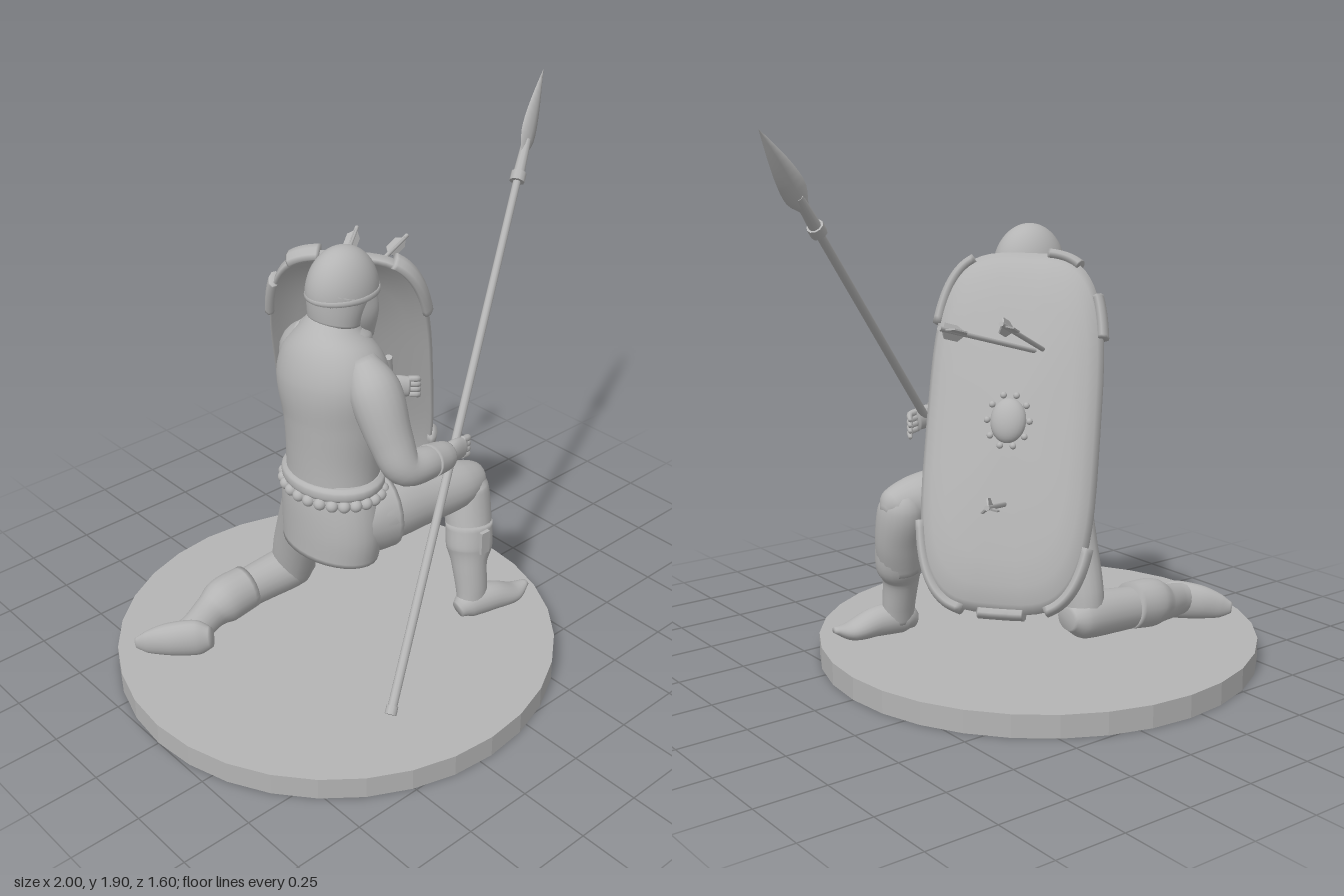
import * as THREE from 'three';

const V = (p) => new THREE.Vector3(p[0], p[1], p[2]);
const X = new THREE.Vector3(1, 0, 0), Y = new THREE.Vector3(0, 1, 0), Z = new THREE.Vector3(0, 0, 1);

// Closed skin over a grid of rings (each ring runs counter-clockwise round the path).
function skin(rings) {
  const n = rings[0].length, pos = [], idx = [];
  rings.forEach((r) => r.forEach((p) => pos.push(p.x, p.y, p.z)));
  for (let i = 0; i < rings.length - 1; i++) {
    for (let j = 0; j < n; j++) {
      const a = i * n + j, b = i * n + (j + 1) % n;
      idx.push(a, b, a + n, b, b + n, a + n);
    }
  }
  [0, rings.length - 1].forEach((k, end) => {
    const c = rings[k].reduce((s, p) => s.add(p), new THREE.Vector3()).divideScalar(n);
    const ci = pos.length / 3;
    pos.push(c.x, c.y, c.z);
    for (let j = 0; j < n; j++) {
      const a = k * n + j, b = k * n + (j + 1) % n;
      if (end) idx.push(a, b, ci); else idx.push(b, a, ci);
    }
  });
  const g = new THREE.BufferGeometry();
  g.setAttribute('position', new THREE.Float32BufferAttribute(pos, 3));
  g.setIndex(idx);
  g.computeVertexNormals();
  return g;
}

// Elliptical sweep; each point is [x, y, z, radius along ref x path, other radius].
function sweep(pts, ref = Z, sides = 20, steps = 6) {
  const curve = new THREE.CatmullRomCurve3(pts.map(V));
  const radii = new THREE.CatmullRomCurve3(
    pts.map((p) => new THREE.Vector3(p[3], p[4] ?? p[3], 0)), false, 'catmullrom', 0.5);
  const count = (pts.length - 1) * steps, rings = [];
  for (let i = 0; i <= count; i++) {
    const t = i / count, c = curve.getPoint(t), r = radii.getPoint(t), tan = curve.getTangent(t);
    const side = ref.clone().cross(tan).normalize(), other = tan.clone().cross(side);
    const ring = [];
    for (let j = 0; j < sides; j++) {
      const a = j / sides * Math.PI * 2;
      ring.push(c.clone().addScaledVector(side, Math.cos(a) * r.x).addScaledVector(other, Math.sin(a) * r.y));
    }
    rings.push(ring);
  }
  return skin(rings);
}

export function createModel() {
  const model = new THREE.Group();
  const stone = new THREE.MeshStandardMaterial({ color: 0xb4b4b4 });
  stone.name = 'plain grey';
  const add = (name, geo, parent = model) => {
    const m = new THREE.Mesh(geo, stone);
    m.name = name;
    parent.add(m);
    return m;
  };
  const ball = (name, p, r, parent = model) => {
    const m = add(name, new THREE.SphereGeometry(1, 24, 16), parent);
    m.position.set(...p);
    m.scale.set(...r);
    return m;
  };
  const rod = (name, a, b, r0, r1 = r0, parent = model) => {
    const d = V(b).sub(V(a)), m = add(name, new THREE.CylinderGeometry(r1, r0, d.length(), 10), parent);
    m.position.copy(V(a)).addScaledVector(d, 0.5);
    m.quaternion.setFromUnitVectors(Y, d.normalize());
    return m;
  };

  // Round plinth with faceted rim
  const disc = new THREE.CylinderGeometry(0.8, 0.8, 0.08, 32).toNonIndexed();
  disc.computeVertexNormals();
  add('base', disc).position.set(-0.2, 0.04, 0);

  // Torso, belt and tunic skirt
  add('torso', sweep([[-0.21, 0.72, 0, 0.18, 0.145], [-0.2, 0.85, 0, 0.18, 0.155], [-0.19, 1.0, 0, 0.195, 0.17],
    [-0.19, 1.13, -0.01, 0.215, 0.175], [-0.18, 1.22, -0.02, 0.19, 0.155], [-0.16, 1.29, -0.03, 0.12, 0.11],
    [-0.14, 1.34, -0.03, 0.07, 0.075]], X, 32));
  add('collar', sweep([[-0.165, 1.25, -0.03, 0.14, 0.125], [-0.155, 1.29, -0.03, 0.125, 0.115],
    [-0.15, 1.31, -0.03, 0.09, 0.09]], X, 28));
  add('skirt', sweep([[-0.21, 0.79, 0, 0.18, 0.14], [-0.215, 0.7, 0, 0.2, 0.15], [-0.22, 0.58, 0.01, 0.21, 0.15],
    [-0.23, 0.48, 0.01, 0.2, 0.142]], X, 32));
  add('belt', sweep([[-0.205, 0.735, 0, 0.185, 0.15], [-0.205, 0.75, 0, 0.2, 0.162], [-0.205, 0.775, 0, 0.2, 0.162],
    [-0.205, 0.79, 0, 0.182, 0.15]], X, 32));
  add('buckle', new THREE.BoxGeometry(0.025, 0.055, 0.07)).position.set(-0.045, 0.76, 0.02);
  for (let i = 0; i < 26; i++) {
    const a = i / 26 * Math.PI * 2;
    ball('beltRuffle', [-0.205 + Math.cos(a) * 0.155, 0.727, Math.sin(a) * 0.195], [0.022, 0.022, 0.022]);
  }
  for (let i = 0; i < 7; i++) ball('vestButton', [-0.035 + 0.012 * Math.sin(i), 0.84 + i * 0.055, 0], [0.012, 0.01, 0.01]);

  // Head, beard and open helmet
  ball('face', [-0.1, 1.36, -0.03], [0.1, 0.125, 0.082]);
  ball('nose', [-0.003, 1.365, -0.03], [0.02, 0.03, 0.015]);
  add('beard', sweep([[-0.085, 1.33, -0.03, 0.075, 0.07], [-0.065, 1.28, -0.03, 0.062, 0.055],
    [-0.055, 1.225, -0.03, 0.015, 0.02]], X));
  const helmet = add('helmet', new THREE.SphereGeometry(1, 32, 14, 0, Math.PI * 2, 0, Math.PI * 0.52));
  helmet.position.set(-0.128, 1.415, -0.03);
  helmet.scale.set(0.135, 0.157, 0.108);
  add('helmetRim', new THREE.TorusGeometry(1, 0.06, 8, 32).rotateX(Math.PI / 2).scale(0.131, 0.2, 0.106))
    .position.set(-0.126, 1.415, -0.03);
  add('napeGuard', sweep([[-0.165, 1.32, -0.03, 0.095, 0.085], [-0.155, 1.37, -0.03, 0.102, 0.1],
    [-0.14, 1.42, -0.03, 0.106, 0.12]], X, 28));
  for (const s of [1, -1]) {
    const z = -0.03 + s * 0.083;
    add('cheekGuard', sweep([[-0.1, 1.42, z, 0.05, 0.014], [-0.085, 1.34, z, 0.045, 0.016],
      [-0.06, 1.25, z - s * 0.025, 0.018, 0.012]]));
  }
  add('noseGuard', new THREE.BoxGeometry(0.014, 0.09, 0.02)).position.set(0.008, 1.405, -0.03);

  // Front leg, planted foot
  add('frontThigh', sweep([[-0.24, 0.63, 0.09, 0.1, 0.1], [-0.1, 0.62, 0.125, 0.12, 0.115], [0.08, 0.61, 0.15, 0.105, 0.1],
    [0.24, 0.6, 0.165, 0.088, 0.09], [0.33, 0.59, 0.165, 0.06, 0.06], [0.36, 0.58, 0.165, 0.015, 0.02]]));
  add('frontTunicFold', sweep([[-0.24, 0.61, 0.1, 0.11, 0.11], [-0.15, 0.61, 0.11, 0.14, 0.12],
    [-0.07, 0.61, 0.125, 0.14, 0.122]]));
  add('frontShin', sweep([[0.28, 0.64, 0.165, 0.05, 0.06], [0.285, 0.58, 0.165, 0.08, 0.09], [0.275, 0.46, 0.195, 0.088, 0.085],
    [0.255, 0.35, 0.225, 0.08, 0.08]]));
  add('frontBoot', sweep([[0.265, 0.45, 0.21, 0.088, 0.085], [0.255, 0.36, 0.225, 0.09, 0.082],
    [0.242, 0.3, 0.24, 0.068, 0.066], [0.238, 0.2, 0.26, 0.062, 0.055], [0.235, 0.13, 0.27, 0.062, 0.048]]));
  add('frontFoot', sweep([[0.17, 0.12, 0.26, 0.03, 0.03], [0.21, 0.135, 0.268, 0.055, 0.05], [0.31, 0.135, 0.29, 0.055, 0.055],
    [0.41, 0.115, 0.308, 0.035, 0.048], [0.48, 0.13, 0.315, 0.01, 0.014]]));
  add('bootStrap', new THREE.BoxGeometry(0.04, 0.09, 0.015)).position.set(0.25, 0.41, 0.305);

  // Kneeling leg, foot turned sideways behind
  add('rearThigh', sweep([[-0.21, 0.64, -0.09, 0.12, 0.11], [-0.2, 0.45, -0.18, 0.095, 0.1],
    [-0.19, 0.28, -0.25, 0.08, 0.09], [-0.185, 0.18, -0.275, 0.065, 0.07], [-0.18, 0.135, -0.28, 0.02, 0.03]]));
  add('rearShin', sweep([[-0.11, 0.21, -0.27, 0.04, 0.05], [-0.17, 0.21, -0.275, 0.08, 0.08], [-0.35, 0.2, -0.285, 0.078, 0.072],
    [-0.5, 0.19, -0.285, 0.07, 0.07]]));
  add('rearBoot', sweep([[-0.39, 0.205, -0.285, 0.085, 0.078], [-0.5, 0.195, -0.285, 0.088, 0.082],
    [-0.56, 0.18, -0.28, 0.068, 0.064], [-0.65, 0.165, -0.255, 0.062, 0.055], [-0.72, 0.16, -0.25, 0.055, 0.045]]));
  add('rearFoot', sweep([[-0.635, 0.16, -0.175, 0.025, 0.04], [-0.67, 0.155, -0.215, 0.045, 0.07],
    [-0.745, 0.145, -0.285, 0.045, 0.065], [-0.805, 0.13, -0.34, 0.025, 0.045], [-0.835, 0.125, -0.37, 0.008, 0.02]], Y));

  // Arms with cuffs, hands and fingers
  const arm = (side, path, cuff, palm, dir, curl) => {
    const g = new THREE.Group();
    g.name = side + 'Arm';
    model.add(g);
    add(side + 'Sleeve', sweep(path), g);
    add(side + 'Cuff', sweep(cuff), g);
    const d = V(dir);
    add(side + 'Hand', sweep([-0.07, -0.02, 0.03].map((k, i) =>
      [...V(palm).addScaledVector(d, k).toArray(), [0.028, 0.042, 0.038][i], [0.026, 0.026, 0.022][i]])), g);
    for (let i = 0; i < 4; i++) {
      const f = V(palm).addScaledVector(d, 0.025).add(new THREE.Vector3(0, 0.032 - i * 0.021, 0));
      const mid = f.clone().addScaledVector(d, 0.035), tip = mid.clone().add(V(curl));
      add(side + 'Finger', sweep([[...f.toArray(), 0.012], [...mid.toArray(), 0.012], [...tip.toArray(), 0.007]], Y, 8, 4), g);
    }
  };
  arm('right', [[-0.19, 1.24, 0.13, 0.05], [-0.19, 1.15, 0.2, 0.09, 0.085], [-0.185, 1.0, 0.27, 0.078, 0.075],
    [-0.165, 0.905, 0.315, 0.065], [-0.07, 0.885, 0.325, 0.058], [0.03, 0.87, 0.31, 0.042]],
  [[-0.06, 0.885, 0.325, 0.06], [0.0, 0.875, 0.317, 0.055], [0.03, 0.868, 0.311, 0.05]],
  [0.1, 0.86, 0.3], [0.97, -0.2, -0.12], [0.02, -0.015, -0.03]);
  arm('left', [[-0.17, 1.24, -0.15, 0.05], [-0.15, 1.15, -0.21, 0.088, 0.085], [-0.1, 1.02, -0.26, 0.076],
    [-0.05, 0.955, -0.26, 0.066], [0.06, 0.94, -0.19, 0.056], [0.15, 0.92, -0.13, 0.042]],
  [[0.07, 0.937, -0.185, 0.058], [0.12, 0.926, -0.15, 0.053], [0.15, 0.92, -0.13, 0.048]],
  [0.205, 0.91, -0.095], [0.82, -0.1, 0.56], [0.015, -0.02, -0.02]);

  // Spear with leaf-shaped blade
  const butt = new THREE.Vector3(-0.48, 0.21, 0.6), tip = new THREE.Vector3(1, 1.9, -0.2);
  const along = (t) => butt.clone().lerp(tip, t).toArray();
  rod('spearShaft', along(0), along(0.86), 0.016, 0.014);
  rod('spearButt', along(0), along(0.012), 0.02);
  rod('spearSocket', along(0.81), along(0.88), 0.022, 0.016);
  rod('spearCollar', along(0.81), along(0.825), 0.028);
  add('spearBlade', sweep([[0.855, 0.014, 0.012], [0.885, 0.045, 0.014], [0.92, 0.042, 0.013], [0.96, 0.024, 0.009],
    [1, 0.001, 0.001]].map(([t, a, b]) => [...along(t), a, b]), Z, 4, 3));

  // Curved tall shield: local +z is its outer face, local -x its near side
  const shield = new THREE.Group();
  shield.name = 'shield';
  const w = new THREE.Vector3(-0.65, 0, -0.76), up = new THREE.Vector3(-0.29, 0.93, 0.2).normalize();
  const out = w.clone().cross(up).normalize();
  up.copy(out).cross(w).normalize();
  shield.quaternion.setFromRotationMatrix(new THREE.Matrix4().makeBasis(w.normalize(), up, out));
  shield.position.set(0.14, 0.92, -0.28);
  model.add(shield);
  const pow = (v) => Math.sign(v) * Math.pow(Math.abs(v), 0.55);
  const edge = (a, s, z) => new THREE.Vector3(0.29 * pow(Math.cos(a)) * s, 0.6 * pow(Math.sin(a)) * s, z);
  const profile = [[0.02, 0.047], [0.4, 0.042], [0.7, 0.026], [0.9, 0.002], [0.97, -0.025], [1, -0.02], [1, 0.01],
    [0.95, 0.03], [0.85, 0.05], [0.7, 0.062], [0.4, 0.075], [0.02, 0.08]];
  add('shieldBoard', skin(profile.map(([s, z]) =>
    Array.from({ length: 64 }, (_, j) => edge(j / 64 * Math.PI * 2, s, z)))), shield);
  for (const [a0, a1] of [[112, 158], [198, 258], [288, 335], [18, 38], [266, 276], [62, 84]]) {
    const pts = [];
    for (let i = 0; i <= 6; i++) {
      pts.push([...edge(THREE.MathUtils.degToRad(a0 + (a1 - a0) * i / 6), 1, 0).toArray(), 0.02, 0.038]);
    }
    add('rimBand', sweep(pts, Z, 8, 3), shield);
  }
  ball('shieldBoss', [0, 0.02, 0.075], [0.06, 0.075, 0.04], shield);
  for (let i = 0; i < 10; i++) {
    const a = i / 10 * Math.PI * 2;
    ball('bossRivet', [Math.cos(a) * 0.07, 0.02 + Math.sin(a) * 0.087, 0.078], [0.011, 0.011, 0.011], shield);
  }
  rod('shieldGrip', [-0.13, 0.09, 0.0], [-0.13, -0.11, 0.0], 0.014, 0.014, shield);

  // Arrows stuck in the shield, three vanes each
  for (const [a, b] of [[[-0.04, 1.15, -0.27], [0.41, 1.33, -0.57]], [[-0.04, 1.15, -0.29], [0.53, 1.31, -0.42]],
    [[0.2, 0.69, -0.33], [0.57, 0.82, -0.71]]]) {
    const arrow = new THREE.Group(), d = V(b).sub(V(a)), len = d.length();
    arrow.name = 'arrow';
    arrow.position.copy(V(a));
    arrow.quaternion.setFromUnitVectors(Y, d.normalize());
    model.add(arrow);
    rod('arrowShaft', [0, 0, 0], [0, len, 0], 0.008, 0.008, arrow);
    const vane = new THREE.Shape([[0, -0.13], [0.028, -0.1], [0.028, -0.04], [0, -0.015]].map((p) => new THREE.Vector2(...p)));
    for (let i = 0; i < 3; i++) {
      const m = add('arrowVane', new THREE.ExtrudeGeometry(vane, { depth: 0.005, bevelEnabled: false }), arrow);
      m.position.y = len;
      m.rotation.y = i * Math.PI * 2 / 3;
    }
  }
  return model;
}
